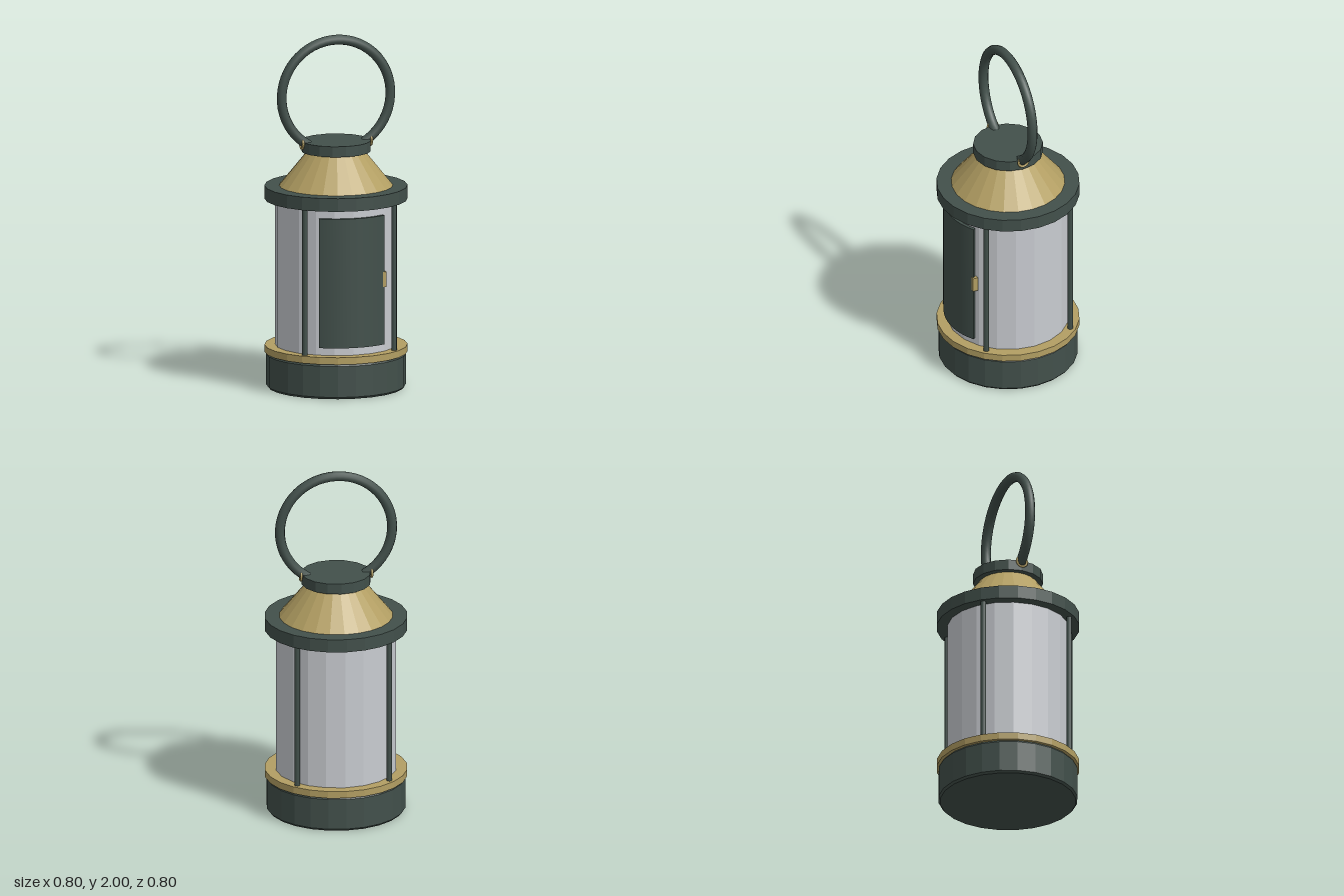
import * as THREE from 'three';
import { toCreasedNormals } from 'three/addons/utils/BufferGeometryUtils.js';

export function createModel() {
  const lantern = new THREE.Group();
  lantern.name = 'lantern';

  const paint = (name, color) => {
    const m = new THREE.MeshStandardMaterial({ color });
    m.name = name;
    return m;
  };
  const green = paint('dark green metal', 0x42504b);
  const brass = paint('brass', 0xb39f63);
  const glass = paint('pale glass', 0xc9ccd1);

  const add = (name, geometry, material, x = 0, y = 0, z = 0) => {
    const mesh = new THREE.Mesh(geometry, material);
    mesh.name = name;
    mesh.position.set(x, y, z);
    lantern.add(mesh);
    return mesh;
  };
  // Faceted geometry: every face gets its own normal
  const flat = (geometry) => {
    const g = geometry.toNonIndexed();
    g.computeVertexNormals();
    return g;
  };
  // Faceted drum or cone between two heights
  const drum = (name, material, y0, y1, r0, r1, sides) =>
    add(name, flat(new THREE.CylinderGeometry(r1, r0, y1 - y0, sides)), material, 0, (y0 + y1) / 2, 0);

  // Base with slightly chamfered rims
  const profile = [[0, 0], [0.38, 0], [0.39, 0.012], [0.39, 0.188], [0.38, 0.2], [0, 0.2]]
    .map(([x, y]) => new THREE.Vector2(x, y));
  add('base', flat(new THREE.LatheGeometry(profile, 24)), green);

  // Body stack
  drum('baseRing', brass, 0.2, 0.24, 0.4, 0.4, 24);
  drum('glassBody', glass, 0.24, 1.07, 0.34, 0.34, 20);
  drum('topPlate', green, 1.07, 1.145, 0.4, 0.4, 24);
  drum('roofCone', brass, 1.145, 1.34, 0.318, 0.16, 24);
  drum('cap', green, 1.34, 1.4, 0.195, 0.195, 16);

  // Four guard rods
  for (const x of [-0.26, 0.26]) {
    for (const z of [-0.26, 0.26]) {
      add('guardRod', new THREE.CylinderGeometry(0.016, 0.016, 0.85, 8), green, x, 0.655, z);
    }
  }

  // Curved door wrapped around the front of the glass
  const half = 0.56;
  const mid = -Math.PI / 2;
  const arc = new THREE.Shape();
  arc.absarc(0, 0, 0.36, mid - half, mid + half, false);
  arc.absarc(0, 0, 0.343, mid + half, mid - half, true);
  arc.closePath();
  const door = new THREE.ExtrudeGeometry(arc, { depth: 0.735, bevelEnabled: false, curveSegments: 12 });
  door.rotateX(-Math.PI / 2);
  add('door', toCreasedNormals(door, 0.5), green, 0, 0.285, 0);

  // Door latch
  add('latch', new THREE.BoxGeometry(0.022, 0.085, 0.03), brass, 0.19, 0.655, 0.297);

  // Ring handle, its ends sunk into the cap
  const handle = new THREE.TorusGeometry(0.317, 0.028, 10, 48, Math.PI * 5 / 3);
  handle.rotateZ(-Math.PI / 3);
  add('handle', handle, green, 0, 1.655, 0);

  // Small brass eyelets holding the handle
  for (const side of [-1, 1]) {
    const eyelet = new THREE.TorusGeometry(0.03, 0.007, 6, 16);
    eyelet.rotateY(Math.PI / 2);
    add('handleEyelet', eyelet, brass, side * 0.2, 1.393, 0);
  }

  return lantern;
}
